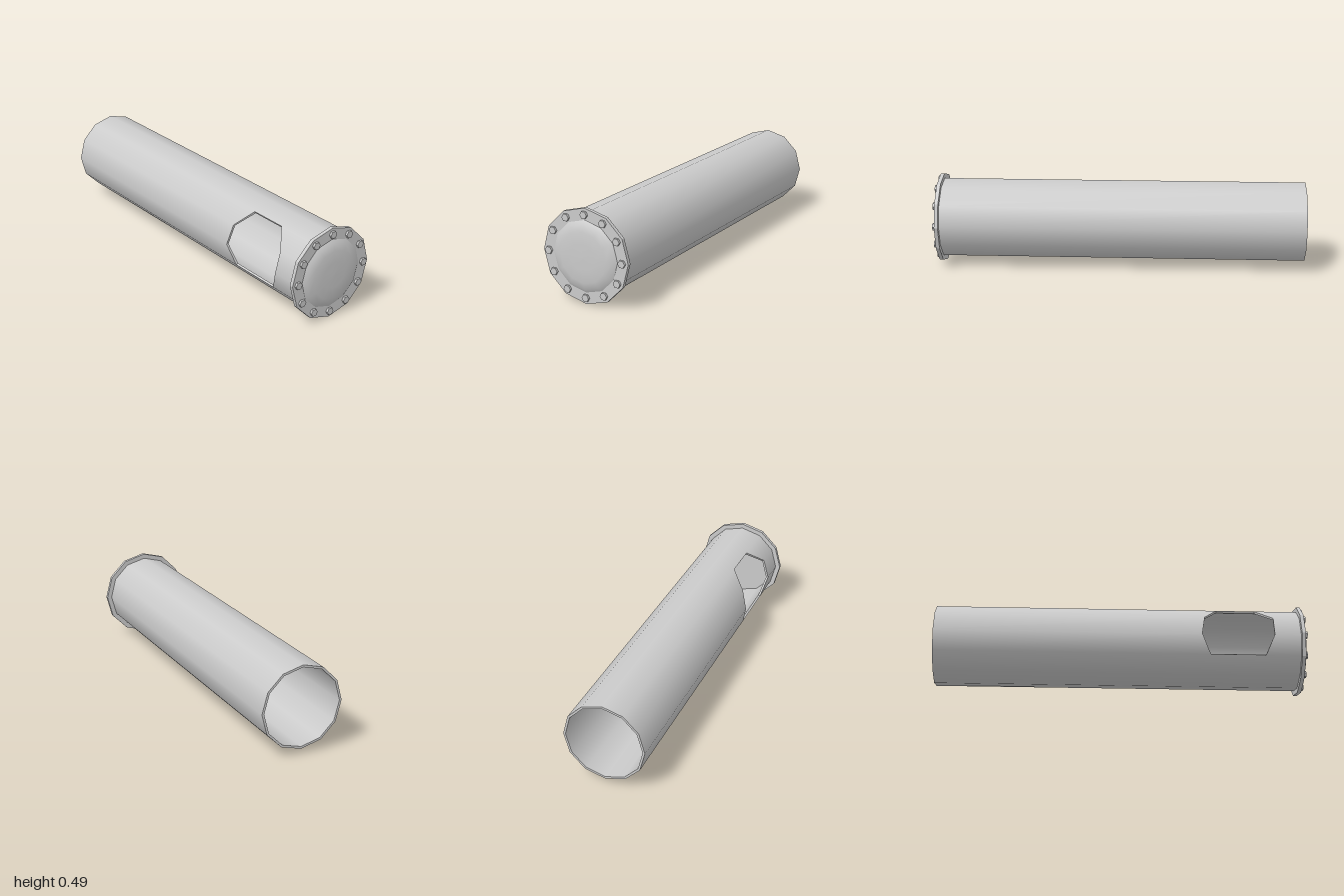
import * as THREE from 'three';

const SIDES = 12, CY = 0.243;
const R_OUT = 0.217, R_IN = 0.205;
const X0 = -1, X1 = 0.955;

// Opening in the front of the pipe: [left x, right x] at each corner angle in degrees
const opening = { '-30': [0.47, 0.765], 0: [0.425, 0.812], 30: [0.443, 0.812], 60: [0.515, 0.723] };

const radial = (deg) => {
  const a = THREE.MathUtils.degToRad(deg);
  return new THREE.Vector3(0, Math.sin(a), Math.cos(a));
};
const point = (x, r, deg) => radial(deg).multiplyScalar(r).setX(x);

function pipeGeometry() {
  const pos = [], nor = [];
  // Adds a quad, wound to face the way its normals point
  function quad(p, n) {
    const face = p[1].clone().sub(p[0]).cross(p[2].clone().sub(p[0]));
    const order = face.dot(n[0]) > 0 ? [0, 1, 2, 0, 2, 3] : [0, 2, 1, 0, 3, 2];
    for (const i of order) {
      pos.push(...p[i].toArray());
      nor.push(...n[i].toArray());
    }
  }
  // One strip of wall between two corner angles, outside and inside
  function wall(a, b, xa, xb) {
    for (const [r, s] of [[R_OUT, 1], [R_IN, -1]]) {
      const na = radial(a).multiplyScalar(s), nb = radial(b).multiplyScalar(s);
      quad([point(xa[0], r, a), point(xa[1], r, a), point(xb[1], r, b), point(xb[0], r, b)], [na, na, nb, nb]);
    }
  }
  // Cut edge through the wall thickness, facing roughly along dir
  function rim(xa, a, xb, b, dir) {
    const p = [point(xa, R_OUT, a), point(xb, R_OUT, b), point(xb, R_IN, b), point(xa, R_IN, a)];
    const n = p[1].clone().sub(p[0]).cross(p[2].clone().sub(p[0])).normalize();
    if (n.dot(dir) < 0) n.negate();
    quad(p, [n, n, n, n]);
  }
  const right = new THREE.Vector3(1, 0, 0), left = new THREE.Vector3(-1, 0, 0);
  for (let i = 0; i < SIDES; i++) {
    const a = -30 + i * 30, b = a + 30;
    const ha = opening[a], hb = opening[b];
    if (ha && hb) {
      wall(a, b, [X0, ha[0]], [X0, hb[0]]);
      wall(a, b, [ha[1], X1], [hb[1], X1]);
      rim(ha[0], a, hb[0], b, right);
      rim(ha[1], a, hb[1], b, left);
    } else {
      wall(a, b, [X0, X1], [X0, X1]);
    }
    rim(X0, a, X0, b, left);
  }
  // Straight lower and upper edges of the opening
  rim(opening[-30][0], -30, opening[-30][1], -30, new THREE.Vector3(0, 1, 0));
  rim(opening[60][0], 60, opening[60][1], 60, new THREE.Vector3(0, -1, 0));

  const g = new THREE.BufferGeometry();
  g.setAttribute('position', new THREE.Float32BufferAttribute(pos, 3));
  g.setAttribute('normal', new THREE.Float32BufferAttribute(nor, 3));
  return g;
}

export function createModel() {
  const group = new THREE.Group();
  const smooth = new THREE.MeshStandardMaterial({ color: 0xcccccc, side: THREE.DoubleSide });
  const flat = new THREE.MeshStandardMaterial({ color: 0xcccccc, flatShading: true });

  function add(name, geometry, material, x = 0, y = 0, z = 0) {
    const mesh = new THREE.Mesh(geometry, material);
    mesh.name = name;
    mesh.position.set(x, CY + y, z);
    group.add(mesh);
  }

  // Hollow pipe with the side opening
  add('pipe', pipeGeometry(), smooth);

  // End flange
  const flange = new THREE.CylinderGeometry(0.243, 0.243, 0.02, SIDES).rotateZ(-Math.PI / 2);
  add('flange', flange, flat, 0.963);

  // Shallow domed end cover
  const profile = [[0.185, 0.972], [0.165, 0.985], [0.13, 0.996], [0.07, 0.999], [0, 1]]
    .map(([r, x]) => new THREE.Vector2(r, x));
  add('endCover', new THREE.LatheGeometry(profile, SIDES).rotateZ(-Math.PI / 2), smooth);

  // Ring of hexagonal bolts
  const bolt = new THREE.CylinderGeometry(0.02, 0.02, 0.014, 6).rotateZ(-Math.PI / 2);
  for (let i = 0; i < 12; i++) {
    const p = point(0.978, 0.21, i * 30);
    add('bolt', bolt, flat, p.x, p.y, p.z);
  }
  return group;
}
